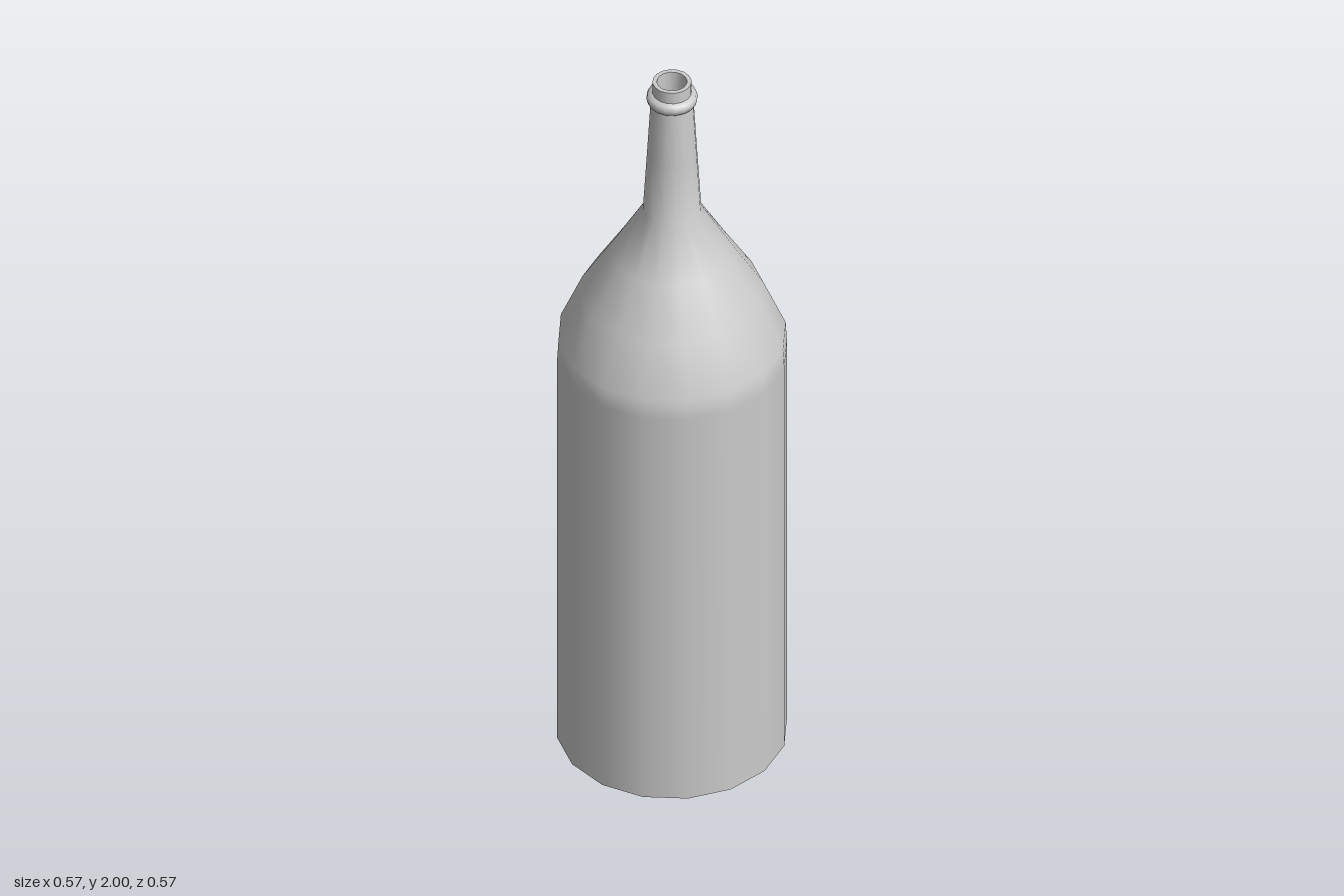
import * as THREE from 'three';

const SIDES = 16;

export function createModel() {
  const group = new THREE.Group();
  const material = new THREE.MeshStandardMaterial({ color: 0xcccccc });

  // Revolves a [radius, height] profile; separate parts keep the creases sharp
  const turn = (name, profile) => {
    const points = profile.map(([r, y]) => new THREE.Vector2(r, y));
    const mesh = new THREE.Mesh(new THREE.LatheGeometry(points, SIDES), material);
    mesh.name = name;
    group.add(mesh);
  };

  // Hollowed underside
  turn('base', [[0, 0.06], [0.14, 0.04], [0.283, 0]]);

  // Straight body, rounded shoulder and tapering neck
  turn('body', [[0.283, 0], [0.283, 1.17], [0.28, 1.225], [0.225, 1.355],
    [0.148, 1.48], [0.072, 1.61], [0.062, 1.78], [0.053, 1.938]]);

  // Raised ring under the mouth
  turn('neckRing', [[0.052, 1.936], [0.06, 1.94], [0.063, 1.952], [0.06, 1.964], [0.047, 1.968]]);

  // Lip: outer wall, flat rim, and the bore inside
  turn('lipWall', [[0.048, 1.96], [0.048, 2]]);
  turn('lipRim', [[0.048, 2], [0.037, 2]]);
  turn('bore', [[0.037, 2], [0.037, 1.94], [0.055, 1.61]]);
  turn('boreFloor', [[0.055, 1.61], [0, 1.61]]);

  return group;
}
